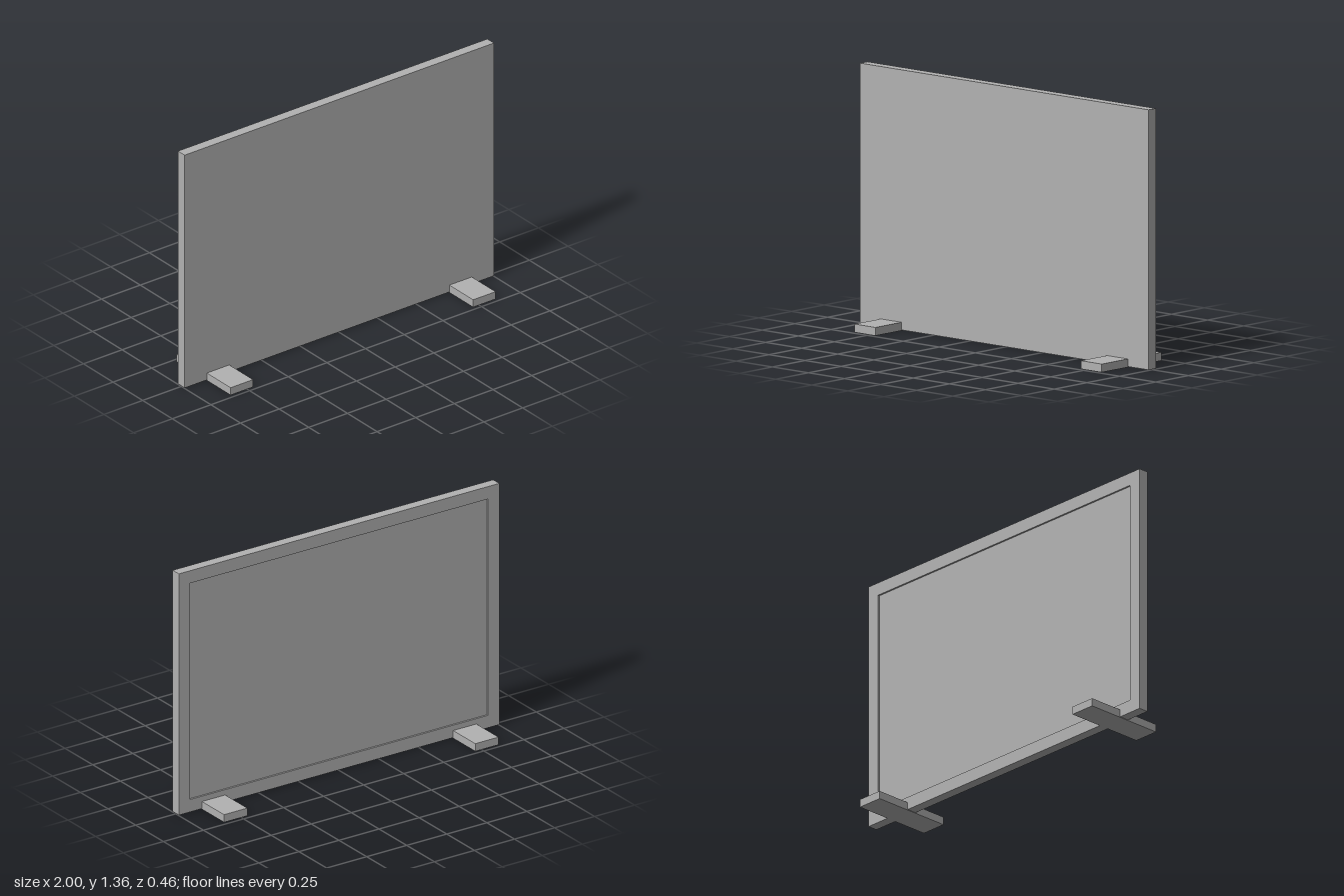
import * as THREE from 'three';

export function createModel() {
  const group = new THREE.Group();
  const grey = new THREE.MeshStandardMaterial({ color: 0xb2b2b2 });
  grey.name = 'grey';

  const bottom = 0.003, top = 1.36, halfDepth = 0.028;
  const border = 0.07, recess = 0.01;
  const height = top - bottom, midY = (top + bottom) / 2;

  const add = (name, geometry, x, y, z) => {
    const mesh = new THREE.Mesh(geometry, grey);
    mesh.name = name;
    mesh.position.set(x, y, z);
    group.add(mesh);
  };

  // Solid board, with its plain face to the front
  const boardDepth = 2 * halfDepth - recess;
  add('board', new THREE.BoxGeometry(2, height, boardDepth), 0, midY, recess / 2);

  // Raised rim around the recessed back
  const rectangle = (path, w, h) => path
    .moveTo(-w, -h).lineTo(w, -h).lineTo(w, h).lineTo(-w, h).closePath();
  const rim = rectangle(new THREE.Shape(), 1, height / 2);
  rim.holes.push(rectangle(new THREE.Path(), 1 - border, height / 2 - border));
  add('backRim', new THREE.ExtrudeGeometry(rim, { depth: recess, bevelEnabled: false }),
    0, midY, -halfDepth);

  // Flat feet crossing under the board
  for (const [name, side] of [['leftFoot', 1], ['rightFoot', -1]]) {
    add(name, new THREE.BoxGeometry(0.145, 0.043, 0.457), side * 0.784, 0.0215, 0);
  }

  return group;
}
